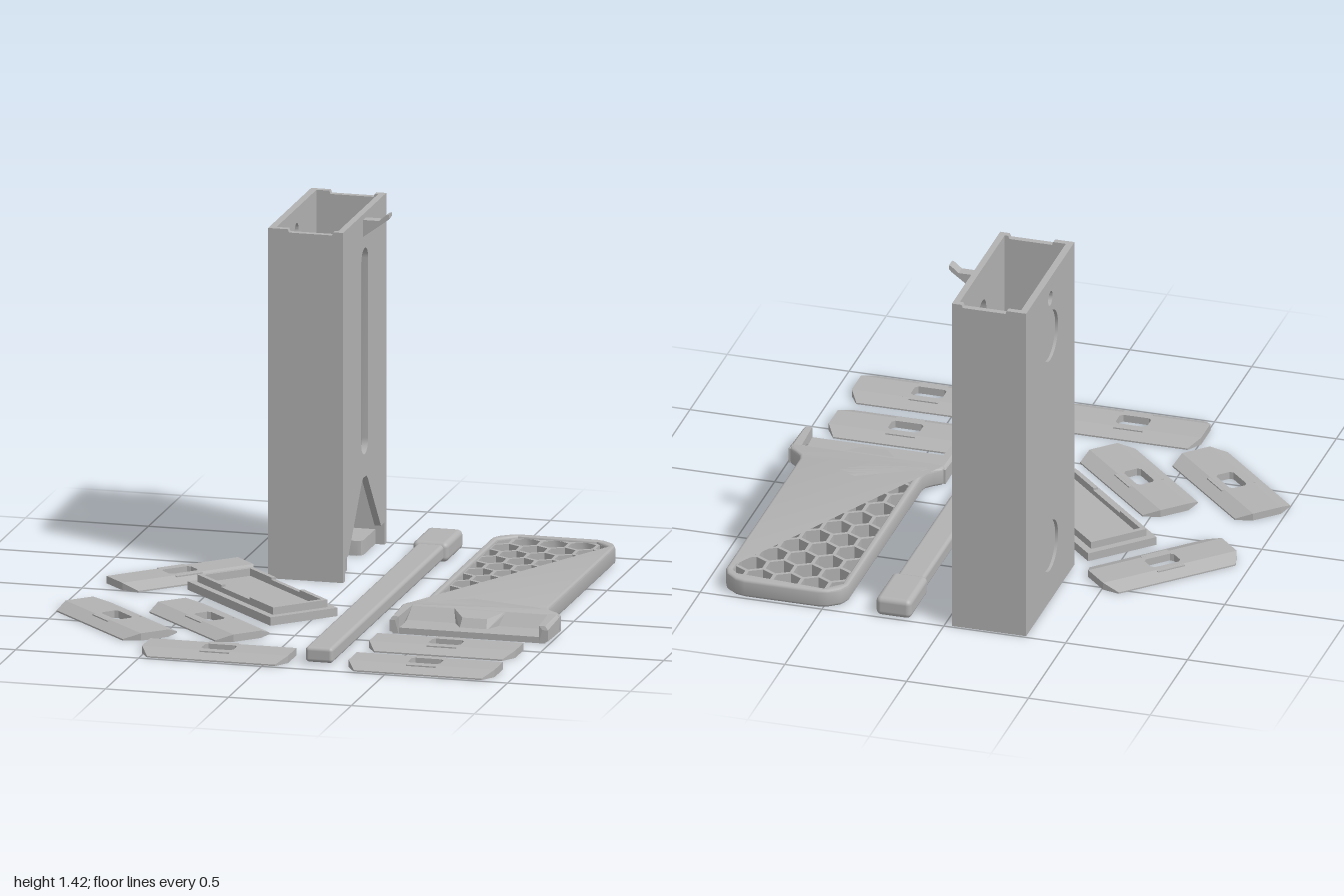
import * as THREE from 'three';
import { toCreasedNormals } from 'three/addons/utils/BufferGeometryUtils.js';
import { RoundedBoxGeometry } from 'three/addons/geometries/RoundedBoxGeometry.js';
import { ConvexGeometry } from 'three/addons/geometries/ConvexGeometry.js';

const grey = new THREE.MeshStandardMaterial({ color: 0xb2b2b2 });
grey.name = 'grey plastic';

const v2 = (pts) => pts.map(([x, y]) => new THREE.Vector2(x, y));
const shapeOf = (pts, holes = []) => {
  const s = new THREE.Shape(v2(pts));
  holes.forEach((h) => s.holes.push(new THREE.Path(v2(h))));
  return s;
};
const circle = (cx, cy, r, a0 = 0, a1 = Math.PI * 2, n = 32) =>
  Array.from({ length: n }, (_, i) => {
    const a = a0 + ((a1 - a0) * i) / (n - 1 + (a1 - a0 > 6 ? 1 : 0));
    return [cx + r * Math.cos(a), cy + r * Math.sin(a)];
  });
const add = (group, name, geometry) => {
  const m = new THREE.Mesh(geometry, grey);
  m.name = name;
  group.add(m);
  return m;
};
const box = (x0, x1, y0, y1, z0, z1) =>
  new THREE.BoxGeometry(x1 - x0, y1 - y0, z1 - z0).translate((x0 + x1) / 2, (y0 + y1) / 2, (z0 + z1) / 2);
const hull = (pts) => new ConvexGeometry(pts.map((p) => new THREE.Vector3(...p)));

// Slab lying flat: points are (x, z), filled between y0 and y1
function slab(pts, y0, y1, holes = [], bevel = 0) {
  const g = new THREE.ExtrudeGeometry(shapeOf(pts, holes), {
    depth: y1 - y0 - 2 * bevel, bevelEnabled: bevel > 0, bevelThickness: bevel,
    bevelSize: bevel, bevelOffset: -bevel, bevelSegments: 3,
  });
  return toCreasedNormals(g.rotateX(Math.PI / 2).translate(0, y1 - bevel, 0), 0.6);
}
// Upright panel facing x: points are (z, y), outer face at x1
function panel(pts, x0, x1, holes = []) {
  const g = new THREE.ExtrudeGeometry(shapeOf(pts, holes), { depth: x1 - x0, bevelEnabled: false });
  return toCreasedNormals(g.rotateY(-Math.PI / 2).translate(x1, 0, 0), 0.6);
}

function tower() {
  const g = new THREE.Group();
  g.name = 'tower';
  const zc = -0.665, H = 1.42;
  const rect = [[-0.99, 0], [-0.34, 0], [-0.34, H], [-0.99, H]];
  // slotted wall with a peaked opening at the foot
  const half = [[0.3, 0], [0.3, 0.09], [0.245, 0.09], [0.045, 0.335], [0.025, 0.35]];
  const peak = [...half.map(([z, y]) => [zc + z, y]), ...half.map(([z, y]) => [zc - z, y]).reverse()];
  const slot = [...circle(zc, 1.225, 0.053, 0, Math.PI, 16), ...circle(zc, 0.495, 0.053, Math.PI, Math.PI * 2, 16)];
  add(g, 'slottedWall', panel([[-0.34, 0], [-0.34, H], [-0.99, H], [-0.99, 0], ...peak.slice().reverse()], -0.056, -0.03, [slot]));
  // opposite wall: round recesses outside, one small through hole
  const pin = circle(zc, 1.33, 0.03);
  add(g, 'recessedWallOuter', panel(rect, -0.335, -0.323, [pin, circle(zc, 1.165, 0.105), circle(zc, 0.24, 0.105)]));
  add(g, 'recessedWallInner', panel(rect, -0.323, -0.307, [pin]));
  // narrow walls with a shallow notch in the rim
  const narrow = shapeOf([[-0.307, 0], [-0.056, 0], [-0.056, H], [-0.07, H], [-0.075, 1.407], [-0.25, 1.407], [-0.255, H], [-0.307, H]]);
  for (const z of [-0.99, -0.365])
    add(g, 'narrowWall', new THREE.ExtrudeGeometry(narrow, { depth: 0.025, bevelEnabled: false }).translate(0, 0, z));
  // floor with an arched cut-out
  const arch = circle(-0.155, zc, 0.103, Math.PI / 2, Math.PI * 1.5, 24);
  add(g, 'towerFloor', slab([[-0.307, -0.965], [-0.307, -0.365], [-0.068, -0.365], [-0.068, zc + 0.125],
    [-0.075, zc + 0.109], [-0.09, zc + 0.103], ...arch, [-0.09, zc - 0.103], [-0.075, zc - 0.109],
    [-0.068, zc - 0.125], [-0.068, -0.965]], 0, 0.06));
  // cord hook
  const hook = shapeOf([[-0.035, 1.325], [0.065, 1.398], [0.075, 1.41], [0.075, 1.425], [0.065, 1.422], [0.035, 1.397], [-0.035, 1.397]]);
  add(g, 'hook', new THREE.ExtrudeGeometry(hook, { depth: 0.044, bevelEnabled: false }).translate(0, 0, zc - 0.022));
  return g;
}

// Keep the part of a convex polygon where a*x + b*z <= c
function clip(poly, [a, b, c]) {
  const out = [];
  poly.forEach((p, i) => {
    const q = poly[(i + 1) % poly.length];
    const dp = a * p[0] + b * p[1] - c, dq = a * q[0] + b * q[1] - c;
    if (dp <= 0) out.push(p);
    if (dp * dq < 0) {
      const t = dp / (dp - dq);
      out.push([p[0] + t * (q[0] - p[0]), p[1] + t * (q[1] - p[1])]);
    }
  });
  return out;
}
const area = (p) => Math.abs(p.reduce((s, [x, z], i) => {
  const [u, w] = p[(i + 1) % p.length];
  return s + (x * w - u * z) / 2;
}, 0));

function paddle() {
  const g = new THREE.Group();
  g.name = 'paddle';
  g.position.x = 0.672;
  const mirror = (pts) => [...pts, ...pts.map(([x, z]) => [-x, z]).reverse()];
  // rounded frame, flaring towards the front
  const outer = mirror([[0.15, -0.99], [0.19, -0.98], [0.235, -0.945], [0.252, -0.905], [0.252, 0.085],
    [0.26, 0.115], [0.285, 0.14], [0.31, 0.16], [0.322, 0.19], [0.322, 0.2]]);
  const win = [[0, -0.015], [0.225, 0.11], [0.225, -0.9], [0.16, -0.965], [-0.16, -0.965], [-0.225, -0.9], [-0.225, 0.11]];
  add(g, 'paddleFrame', slab(outer, 0, 0.075, [win], 0.012));
  // honeycomb infill
  const pitch = 0.114, holes = [];
  for (let r = 0; r < 11; r++) {
    for (let k = -2; k <= 2; k++) {
      const x = (k + (r % 2) / 2) * pitch, z = -0.914 + r * pitch * 0.866;
      let p = circle(x, z, 0.0575, Math.PI / 6, Math.PI * 2 + Math.PI / 6, 6);
      const s = Math.sign(x);
      const edges = [[1, 0, 0.224], [-1, 0, 0.224], [0, -1, 0.964], [1, -1, 1.124], [-1, -1, 1.124],
        [-s * 0.5556, 1, -0.017]];
      for (const e of edges) p = clip(p, e);
      if (p.length > 2 && area(p) > 0.0006) holes.push(p);
    }
  }
  const grid = win.map(([x, z]) => [x * 1.04, z + (z > -0.5 ? 0.01 : -0.01)]);
  add(g, 'honeycomb', slab(grid, 0.004, 0.062, holes));
  // front pocket: floor, sloping back, centre tab and side cheeks
  add(g, 'pocketFloor', box(-0.31, 0.31, 0, 0.025, 0.18, 0.366));
  const w = 0.295;
  add(g, 'pocketSlope', hull([-w, w].flatMap((x) => [[x, 0.01, 0.18], [x, 0.073, 0.18], [x, 0.073, 0.2], [x, 0.022, 0.245], [x, 0.01, 0.245]])));
  add(g, 'pocketTab', hull([-1, 1].flatMap((s) => [[s * 0.11, 0.073, 0.19], [s * 0.115, 0.02, 0.19],
    [s * 0.05, 0.06, 0.28], [s * 0.055, 0.02, 0.305], [s * 0.1, 0.073, 0.205]])));
  for (const s of [-1, 1])
    add(g, 'pocketCheek', hull([[0.322, 0.3], [0.3, 0.3]].flatMap(([x]) => [
      [s * x, 0.004, 0.17], [s * x, 0.066, 0.17], [s * x, 0.01, 0.37], [s * x, 0.055, 0.37],
    ]).concat([[s * 0.275, 0.075, 0.18], [s * 0.31, 0.075, 0.18], [s * 0.285, 0.07, 0.365], [s * 0.31, 0.07, 0.365], [s * 0.285, 0, 0.37], [s * 0.31, 0, 0.18]])));
  return g;
}

function rod() {
  const g = new THREE.Group();
  g.name = 'rod';
  add(g, 'rodShaft', new RoundedBoxGeometry(0.112, 0.062, 1.69, 4, 0.015).translate(0.211, 0.039, 0.075));
  add(g, 'rodHead', new RoundedBoxGeometry(0.145, 0.08, 0.24, 4, 0.022).translate(0.212, 0.04, -0.87));
  return g;
}

// Bevelled slat with a window in the middle
function slat(x, z, angle) {
  const g = new THREE.Group();
  g.name = 'slat';
  const L = 0.297, m = 0.062, c = 0.012;
  const hole = [[0.065, 0.038 - c], [0.065 - c, 0.038], [c - 0.065, 0.038], [-0.065, 0.038 - c],
    [-0.065, c - 0.038], [c - 0.065, -0.038], [0.065 - c, -0.038], [0.065, c - 0.038]];
  add(g, 'slatCentre', slab([[-L, -m], [L, -m], [L, m], [-L, m]], 0, 0.03, [hole]));
  for (const s of [-1, 1]) {
    add(g, 'slatEdge', hull([-1, 1].flatMap((e) => [[e * L, 0, s * m], [e * L, 0.03, s * m],
      [e * 0.26, 0, s * 0.123], [e * 0.26, 0.006, s * 0.123]])));
    add(g, 'slatClip', box(-0.06, 0.06, 0.01, 0.0295, s * 0.068 - 0.008, s * 0.068 + 0.008));
  }
  g.position.set(x, 0, z);
  g.rotation.y = angle;
  return g;
}

function lid() {
  const g = new THREE.Group();
  g.name = 'lid';
  const rect = (a, b) => [[-a, -b], [a, -b], [a, b], [-a, b]];
  add(g, 'lidBase', slab(rect(0.326, 0.152), 0, 0.034));
  add(g, 'lidRim', slab(rect(0.297, 0.123), 0.034, 0.055, [rect(0.278, 0.104)]));
  // raised lips at the ends of the rim
  for (const s of [-1, 1]) {
    add(g, 'lidLip', box(s * 0.2875 - 0.0095, s * 0.2875 + 0.0095, 0.05, 0.064, -0.123, 0.123));
    for (const e of [-1, 1])
      add(g, 'lidLip', box(e * 0.2 - 0.09, e * 0.2 + 0.09, 0.05, 0.064, s * 0.1135 - 0.0095, s * 0.1135 + 0.0095));
  }
  g.position.set(-0.255, 0, 0.04);
  g.rotation.y = -Math.PI / 4;
  return g;
}

export function createModel() {
  const model = new THREE.Group();
  model.name = 'printedPartsSet';
  model.add(tower(), paddle(), rod(), lid());
  const q = Math.PI / 4;
  for (const p of [[0.63, 0.55, 0], [0.63, 0.86, 0], [-0.21, 0.86, 0],
    [-0.728, 0.482, -q], [-0.372, 0.405, -q], [-0.672, -0.262, q]]) model.add(slat(...p));
  return model;
}
